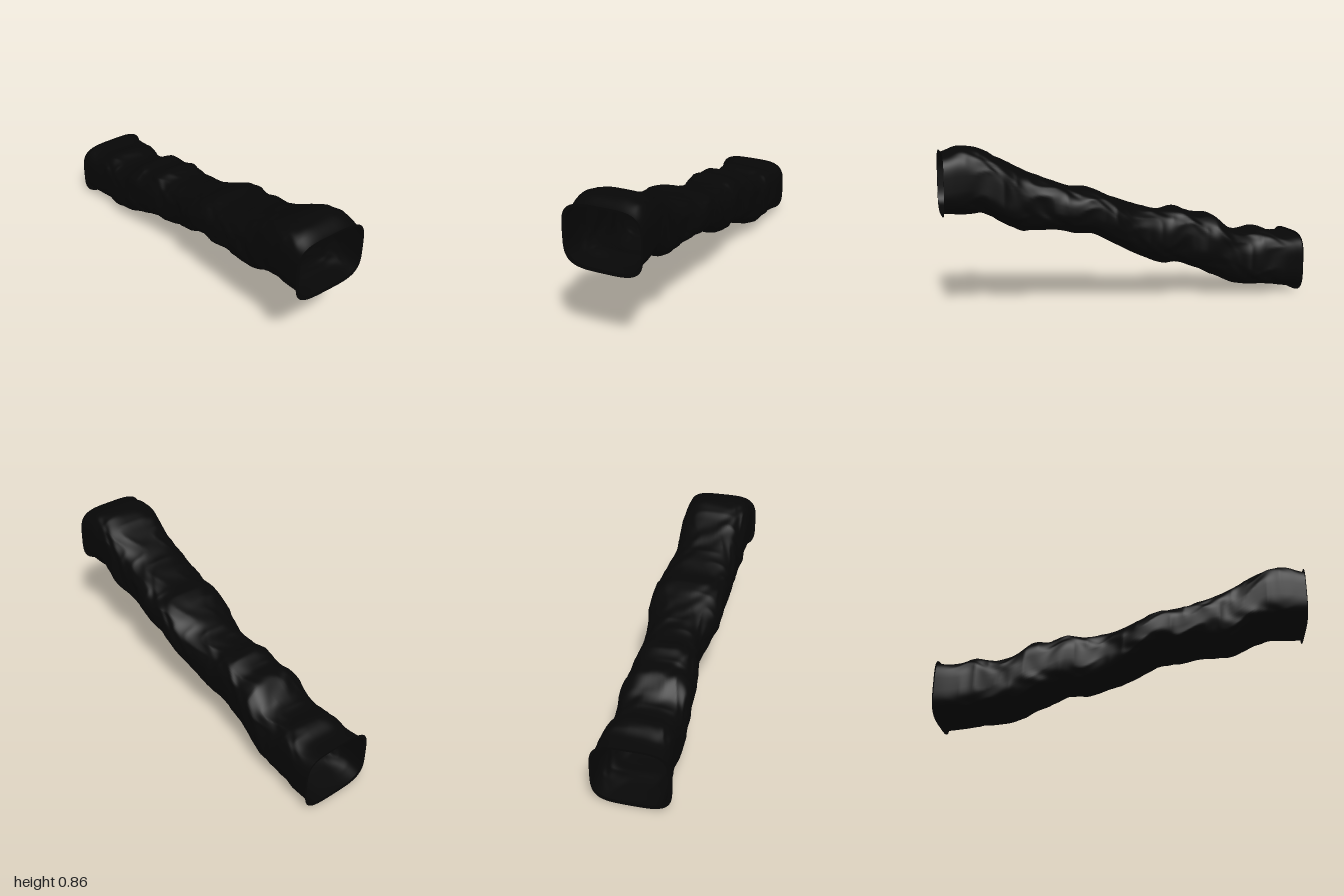
import * as THREE from 'three';

// Tunnel outline, sampled every 0.1 from x = -1 to x = 1
const TOP = [.33, .33, .36, .352, .38, .455, .465, .5, .49, .51, .54, .58, .622, .633, .665, .70, .75, .80, .85, .864, .83];
const BOTTOM = [.02, .03, .042, .05, .07, .11, .15, .19, .195, .23, .275, .33, .375, .387, .408, .41, .42, .47, .515, .512, .52];
const BACK = [-.19, -.194, -.182, -.182, -.185, -.18, -.175, -.168, -.172, -.18, -.19, -.213, -.212, -.207, -.195, -.178, -.178, -.192, -.192, -.192, -.192];
const FRONT = [.2, .195, .188, .185, .185, .183, .17, .17, .155, .142, .165, .19, .192, .195, .2, .2, .192, .2, .203, .204, .2];

// Smooth interpolation through the samples
function sample(list, x) {
  const t = THREE.MathUtils.clamp((x + 1) * 10, 0, 20);
  const i = Math.min(Math.floor(t), 19);
  const f = t - i;
  const a = list[Math.max(i - 1, 0)], b = list[i], c = list[i + 1], d = list[Math.min(i + 2, 20)];
  return b + 0.5 * f * (c - a + f * (2 * a - 5 * b + 4 * c - d + f * (3 * (b - c) + d - a)));
}

// Lumpy rock relief with ridges, fading out at the two cut ends
function relief(x, a) {
  const fade = THREE.MathUtils.smoothstep(1 - Math.abs(x), 0, 0.25);
  const n = 0.7 * Math.sin(9 * x + 2 * a + 1.3 * Math.sin(3 * a + 4 * x))
    + 0.7 * Math.sin(17 * x - 3 * a + 1.6 * Math.sin(2 * a - 7 * x))
    + 0.6 * Math.sin(31 * x + 5 * a + 2 * Math.sin(4 * a + 11 * x))
    + 0.8 * (0.64 - Math.abs(Math.sin(13 * x + 4 * a + 1.5 * Math.sin(23 * x - 3 * a))));
  return fade * 0.022 * n;
}

// One point of the rounded-square section; grow widens it for the lips
function sectionPoint(x, a, grow = 0) {
  const top = sample(TOP, x), bottom = sample(BOTTOM, x);
  const back = sample(BACK, x), front = sample(FRONT, x);
  const power = 2 / (2.7 + 1.1 * x * x);
  const c = Math.cos(a), s = Math.sin(a);
  const k = 1 + relief(x, a);
  const z = Math.sign(c) * Math.abs(c) ** power * ((front - back) / 2 * k + grow * (c > 0 ? 1 : 0.5));
  const y = Math.sign(s) * Math.abs(s) ** power * ((top - bottom) / 2 * k + grow * (s > 0 ? 0.6 : 1));
  return [x, (top + bottom) / 2 + y, (front + back) / 2 + z];
}

// Skin a closed ring of points over several rows
function skin(rows, sides, point) {
  const positions = [], index = [];
  for (let i = 0; i <= rows; i++) {
    for (let j = 0; j < sides; j++) {
      positions.push(...point(i / rows, j / sides * Math.PI * 2));
      if (i === rows) continue;
      const a = i * sides + j, b = i * sides + (j + 1) % sides;
      index.push(a, b, a + sides, b, b + sides, a + sides);
    }
  }
  const geometry = new THREE.BufferGeometry();
  geometry.setAttribute('position', new THREE.Float32BufferAttribute(positions, 3));
  geometry.setIndex(index);
  geometry.computeVertexNormals();
  return geometry;
}

export function createModel() {
  const group = new THREE.Group();
  group.name = 'caveTunnel';
  const rock = new THREE.MeshStandardMaterial({ color: 0x070707, side: THREE.DoubleSide });
  rock.name = 'dark rock';

  // Open sloping tube
  const tunnel = new THREE.Mesh(skin(220, 96, (t, a) => sectionPoint(t * 2 - 1, -a)), rock);
  tunnel.name = 'tunnelWall';
  group.add(tunnel);

  // Flat lips around both openings
  for (const [name, x] of [['lowerLip', -1], ['upperLip', 1]]) {
    const lip = new THREE.Mesh(skin(1, 96, (t, a) => sectionPoint(x, -a * x, t * 0.02)), rock);
    lip.name = name;
    group.add(lip);
  }
  return group;
}
